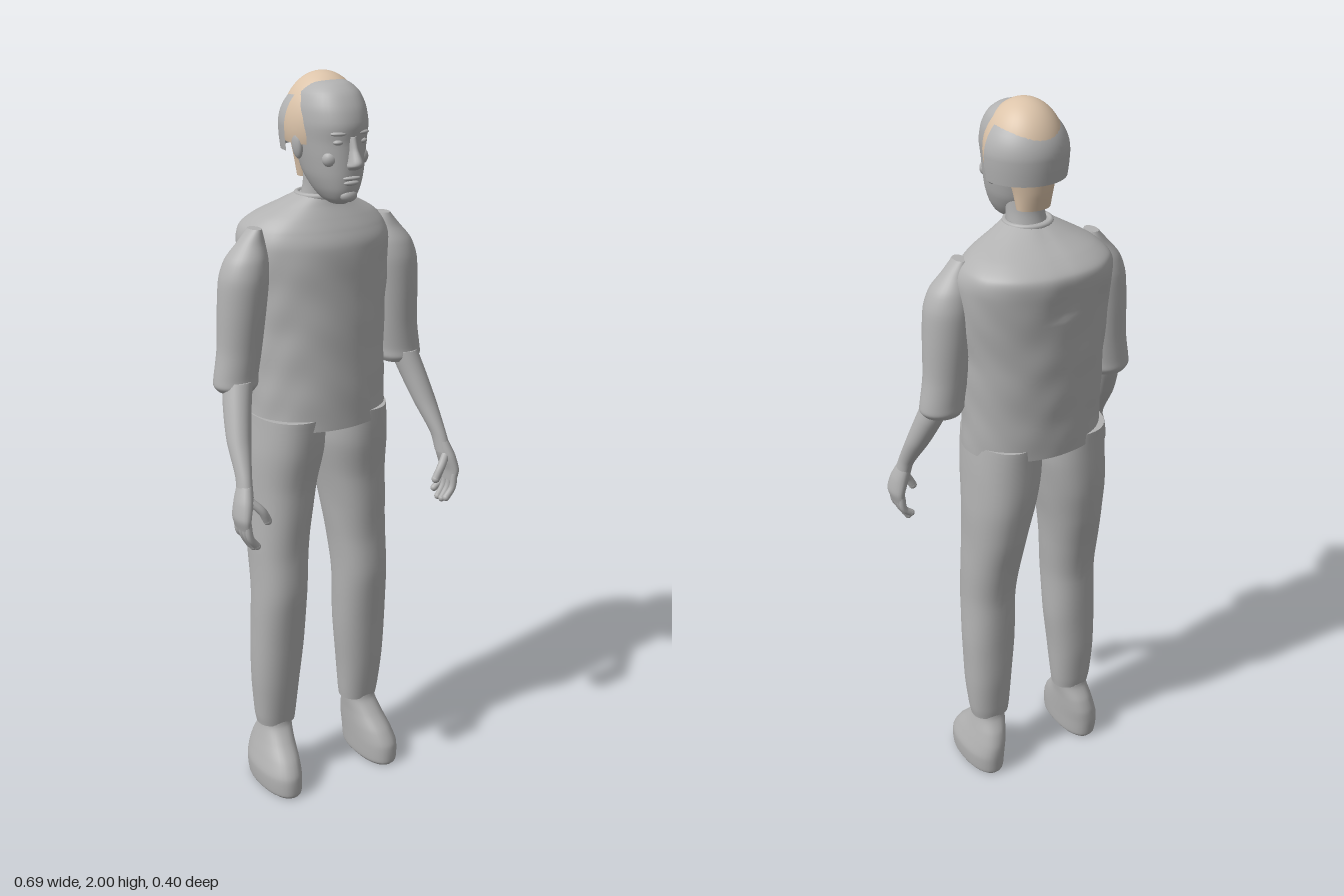
import * as THREE from 'three';

const grey = new THREE.MeshStandardMaterial({ color: 0xb2b2b2 });
grey.name = 'plain grey';
const greyThin = new THREE.MeshStandardMaterial({ color: 0xb2b2b2, side: THREE.DoubleSide });
greyThin.name = 'plain grey shell';
const tan = new THREE.MeshStandardMaterial({ color: 0xdcc4aa, side: THREE.DoubleSide });
tan.name = 'hair tan';

// Smooth body through elliptical sections [y, cx, cz, rx, rz], listed from the bottom up.
function loft(sections, { sides = 32, rings = 40, power = 1, warp = null } = {}) {
  const centres = new THREE.CatmullRomCurve3(sections.map(s => new THREE.Vector3(s[1], s[0], s[2])), false, 'catmullrom', 0.4);
  const radii = new THREE.CatmullRomCurve3(sections.map(s => new THREE.Vector3(s[3], 0, s[4])), false, 'catmullrom', 0.4);
  const pos = [], idx = [];
  const bend = v => Math.sign(v) * Math.abs(v) ** power;
  const ring = t => {
    const c = centres.getPoint(t), r = radii.getPoint(t);
    for (let j = 0; j < sides; j++) {
      const a = j / sides * Math.PI * 2;
      const k = warp ? 1 + warp(a, c.y) : 1;
      pos.push(c.x + r.x * k * bend(Math.sin(a)), c.y, c.z + r.z * k * bend(Math.cos(a)));
    }
    return c;
  };
  for (let i = 0; i <= rings; i++) ring(i / rings);
  for (let i = 0; i < rings; i++) {
    for (let j = 0; j < sides; j++) {
      const a = i * sides + j, b = i * sides + (j + 1) % sides;
      idx.push(a, b, b + sides, a, b + sides, a + sides);
    }
  }
  // end caps with their own vertices, so the rims stay crisp
  for (const t of [0, 1]) {
    const base = pos.length / 3;
    const c = ring(t);
    pos.push(c.x, c.y, c.z);
    for (let j = 0; j < sides; j++) {
      const a = base + j, b = base + (j + 1) % sides;
      if (t) idx.push(a, b, base + sides); else idx.push(b, a, base + sides);
    }
  }
  const g = new THREE.BufferGeometry();
  g.setAttribute('position', new THREE.Float32BufferAttribute(pos, 3));
  g.setIndex(idx);
  g.computeVertexNormals();
  return g;
}

function add(parent, name, geometry, material = grey) {
  const m = new THREE.Mesh(geometry, material);
  m.name = name;
  parent.add(m);
  return m;
}

function ellipsoid(parent, name, p, r, material = grey) {
  const m = add(parent, name, new THREE.SphereGeometry(1, 20, 14), material);
  m.position.set(...p);
  m.scale.set(...r);
  return m;
}

function finger(parent, name, points, r) {
  const path = points.map(p => new THREE.Vector3(...p));
  add(parent, name, new THREE.TubeGeometry(new THREE.CatmullRomCurve3(path), 8, r, 10));
  ellipsoid(parent, name + 'Tip', points[points.length - 1], [r, r, r]);
}

// Shirt body with faint creases in the cloth
function buildTorso(root) {
  const crease = (a, y) => 0.008 * Math.sin(y * 46 + Math.sin(a * 3) * 2) * Math.sin(a * 5 + y * 9)
    - 0.02 * Math.exp(-(((a - Math.PI) / 0.12) ** 2)) * (y > 1.5 ? 1 : 0);
  add(root, 'shirt', loft([
    [1.09, 0.01, -0.008, 0.193, 0.148], [1.2, 0.012, -0.014, 0.192, 0.149],
    [1.35, 0.014, -0.024, 0.194, 0.152], [1.48, 0.018, -0.032, 0.205, 0.154],
    [1.57, 0.02, -0.04, 0.21, 0.158], [1.61, 0.02, -0.045, 0.198, 0.149],
    [1.64, 0.018, -0.034, 0.165, 0.122], [1.67, 0.014, -0.014, 0.11, 0.085],
    [1.695, 0.012, 0.003, 0.063, 0.058],
  ], { sides: 64, rings: 72, power: 0.94, warp: crease }));
  const collar = add(root, 'collar', new THREE.TorusGeometry(0.058, 0.008, 8, 32));
  collar.rotation.x = Math.PI / 2;
  collar.position.set(0.012, 1.692, 0.003);
}

// Sleeve, forearm and hand; s is +1 for the left, -1 for the right
function buildArm(root, s) {
  const arm = new THREE.Group();
  arm.name = s > 0 ? 'leftArm' : 'rightArm';
  root.add(arm);
  const X = x => 0.008 + s * x;
  const side = list => list.map(([y, x, ...rest]) => [y, X(x), ...rest]);
  add(arm, 'sleeve', loft(side([
    [1.21, 0.255, 0.014, 0.05, 0.044], [1.225, 0.256, 0.014, 0.06, 0.052], [1.25, 0.254, 0.013, 0.06, 0.052],
    [1.32, 0.243, 0.013, 0.06, 0.055], [1.42, 0.235, 0.014, 0.064, 0.062], [1.5, 0.228, 0.015, 0.065, 0.064],
    [1.55, 0.219, 0.015, 0.056, 0.055], [1.59, 0.205, 0.014, 0.036, 0.037], [1.625, 0.194, 0.014, 0.016, 0.026],
  ])));
  add(arm, 'forearm', loft(side([
    [0.97, 0.312, 0.155, 0.02, 0.027], [1.02, 0.306, 0.137, 0.02, 0.027], [1.1, 0.292, 0.09, 0.031, 0.035],
    [1.18, 0.274, 0.052, 0.036, 0.041], [1.24, 0.258, 0.03, 0.038, 0.04],
  ])));
  add(arm, 'palm', loft(side([
    [0.89, 0.325, 0.164, 0.014, 0.036], [0.92, 0.328, 0.164, 0.019, 0.039],
    [0.96, 0.319, 0.158, 0.022, 0.035], [1.0, 0.309, 0.147, 0.018, 0.026],
  ]), { rings: 16, sides: 20 }));
  for (let i = 0; i < 4; i++) {
    const z = 0.135 + i * 0.019, drop = i === 0 ? 0.018 : i === 3 ? 0.008 : 0;
    finger(arm, 'finger', [[X(0.326), 0.91, z], [X(0.32), 0.87, z + 0.001], [X(0.3), 0.835 + drop, z]], 0.0098);
  }
  finger(arm, 'thumb', [[X(0.31), 0.965, 0.172], [X(0.282), 0.935, 0.188], [X(0.266), 0.905, 0.188]], 0.0115);
}

// Trouser leg and shoe
function buildLeg(root, s) {
  const leg = new THREE.Group();
  leg.name = s > 0 ? 'leftLeg' : 'rightLeg';
  root.add(leg);
  const X = x => 0.005 + s * x;
  const side = list => list.map(([y, x, ...rest]) => [y, X(x), ...rest]);
  add(leg, 'trouserLeg', loft(side([
    [0.185, 0.14, 0.003, 0.055, 0.046], [0.22, 0.141, 0.003, 0.06, 0.051], [0.32, 0.141, 0.006, 0.068, 0.062],
    [0.45, 0.136, 0.01, 0.075, 0.07], [0.6, 0.132, 0.016, 0.075, 0.08], [0.72, 0.127, 0.004, 0.079, 0.09],
    [0.82, 0.12, -0.007, 0.084, 0.105], [0.92, 0.111, -0.013, 0.092, 0.117], [1.02, 0.101, -0.01, 0.099, 0.129],
    [1.12, 0.096, -0.008, 0.096, 0.135],
  ]), { power: 0.9, rings: 56, warp: (a, y) => 0.01 * Math.sin(y * 30 + a * 2) * Math.sin(a * 3) }));
  add(leg, 'shoe', loft(side([
    [0, 0.162, 0.037, 0.046, 0.106], [0.012, 0.163, 0.037, 0.054, 0.113], [0.06, 0.163, 0.033, 0.057, 0.114],
    [0.1, 0.157, 0.022, 0.053, 0.102], [0.14, 0.15, 0.009, 0.048, 0.077], [0.18, 0.143, 0.004, 0.045, 0.05],
    [0.22, 0.141, 0.003, 0.045, 0.044],
  ]), { power: 0.9 }));
}

function buildHead(root) {
  const head = new THREE.Group();
  head.name = 'head';
  root.add(head);
  const cx = 0.014;
  add(head, 'neck', loft([[1.65, 0.012, 0.0, 0.058, 0.052], [1.72, cx, 0.012, 0.05, 0.046], [1.8, cx, 0.02, 0.052, 0.05]]));
  // skull and face: [y, half width, front z, back z]
  add(head, 'face', loft([
    [1.682, 0.018, 0.115, 0.06], [1.695, 0.036, 0.138, 0.03], [1.72, 0.052, 0.151, 0.0], [1.755, 0.066, 0.156, -0.03],
    [1.8, 0.076, 0.157, -0.05], [1.84, 0.083, 0.157, -0.07], [1.88, 0.088, 0.161, -0.08], [1.92, 0.086, 0.15, -0.08],
    [1.955, 0.073, 0.127, -0.06], [1.977, 0.047, 0.095, -0.03], [1.985, 0.012, 0.05, 0.01],
  ].map(([y, w, f, b]) => [y, cx, (f + b) / 2, w, (f - b) / 2]), { sides: 40, power: 0.92 }));
  add(head, 'nose', loft([
    [1.775, cx, 0.157, 0.013, 0.012], [1.785, cx, 0.166, 0.019, 0.024], [1.797, cx, 0.168, 0.016, 0.025],
    [1.825, cx, 0.159, 0.01, 0.017], [1.855, cx, 0.153, 0.009, 0.012],
  ], { sides: 16, rings: 20 }));
  ellipsoid(head, 'upperLip', [cx, 1.753, 0.152], [0.025, 0.006, 0.011]);
  ellipsoid(head, 'lowerLip', [cx, 1.741, 0.15], [0.022, 0.007, 0.011]);
  ellipsoid(head, 'chin', [cx, 1.708, 0.138], [0.024, 0.017, 0.016]);
  for (const s of [-1, 1]) {
    ellipsoid(head, 'eye', [cx + s * 0.034, 1.842, 0.143], [0.014, 0.007, 0.012]);
    ellipsoid(head, 'brow', [cx + s * 0.034, 1.863, 0.146], [0.022, 0.006, 0.011]).rotation.y = s * 0.3;
    ellipsoid(head, 'cheek', [cx + s * 0.043, 1.8, 0.122], [0.022, 0.022, 0.02]);
    ellipsoid(head, 'ear', [cx + s * 0.086, 1.825, 0.035], [0.011, 0.034, 0.02]).rotation.z = -s * 0.12;
  }
  // hair dome, which the forehead breaks through at the front
  const hair = add(head, 'hair', new THREE.SphereGeometry(1, 40, 28, 0, Math.PI * 2, 0, Math.PI * 0.6), tan);
  hair.scale.set(0.101, 0.13, 0.108);
  hair.position.set(0.015, 1.87, 0.014);
  add(head, 'napeHair', loft([
    [1.735, cx, -0.028, 0.046, 0.03], [1.78, cx, -0.026, 0.054, 0.042], [1.84, cx, -0.02, 0.07, 0.055],
  ]), tan);
  // half shell wrapped round the back of the head
  const profile = [new THREE.Vector2(0.107, 1.81), new THREE.Vector2(0.111, 1.84)];
  for (let i = 0; i <= 14; i++) {
    const a = i / 14 * Math.PI / 2;
    profile.push(new THREE.Vector2(0.113 * Math.cos(a), 1.87 + 0.11 * Math.sin(a)));
  }
  const shell = add(head, 'backShell', new THREE.LatheGeometry(profile, 32, Math.PI / 2, Math.PI), greyThin);
  shell.position.set(0.015, 0, 0.015);
}

export function createModel() {
  const root = new THREE.Group();
  root.name = 'standingFigure';
  buildTorso(root);
  for (const s of [-1, 1]) {
    buildArm(root, s);
    buildLeg(root, s);
  }
  buildHead(root);
  return root;
}
